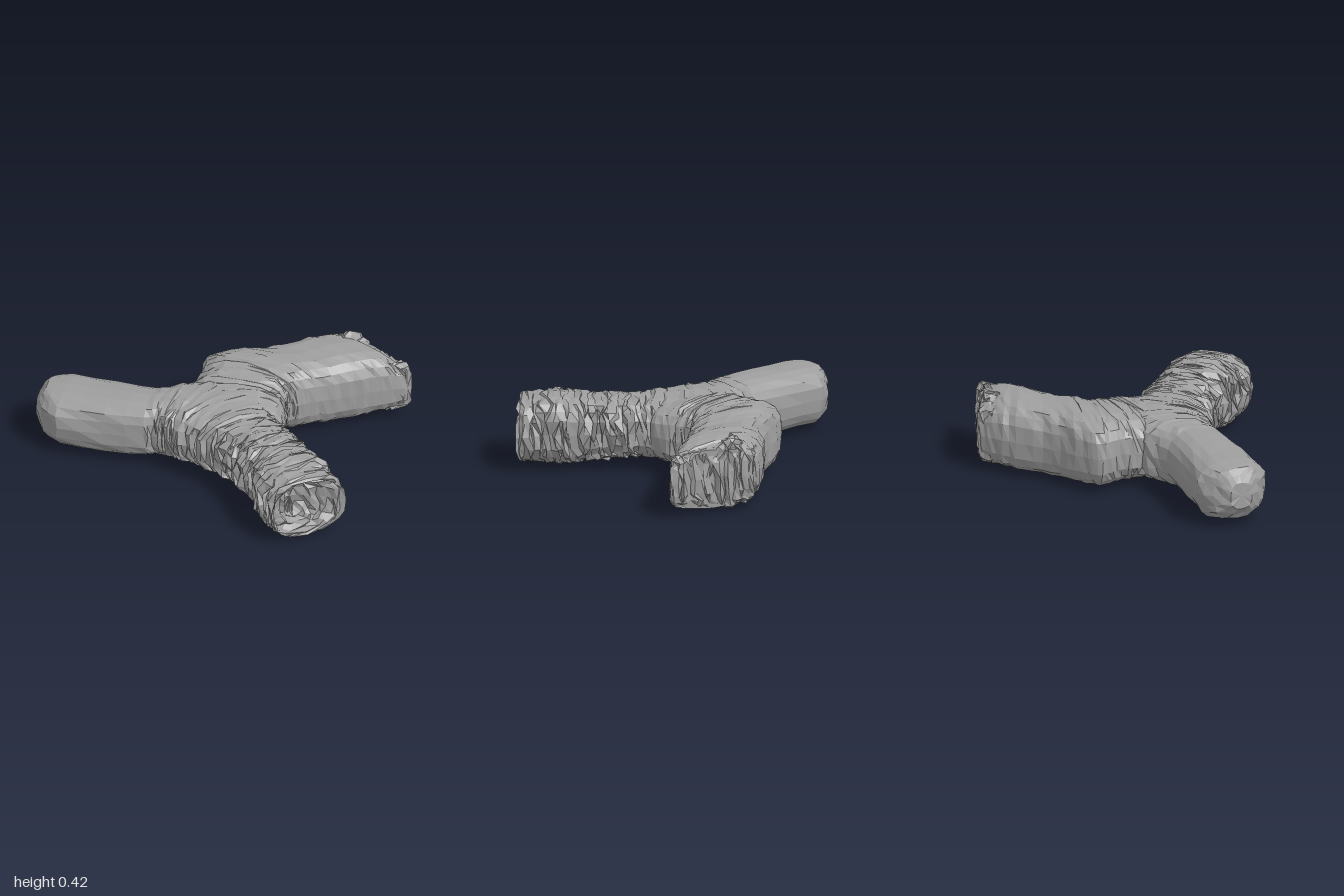
import * as THREE from 'three';

const SIDES = 20;

// small seeded noise, -1 to 1
function makeNoise(seed) {
  let s = seed;
  return () => {
    s = (s * 16807) % 2147483647;
    return (s / 2147483647) * 2 - 1;
  };
}

// Each section: [leftX, leftZ, rightX, rightZ, bottomY, topY, roughness, rings to the next section]
// sideRough scales the roughness on the two flanks; lower squareness gives a boxier outline.
function loft(sections, { seed, sideRough = 1, squareness = 0.75 }) {
  const noise = makeNoise(seed);
  const curve = (f) => new THREE.CatmullRomCurve3(sections.map(f));
  const left = curve((s) => new THREE.Vector3(s[0], 0, s[1]));
  const right = curve((s) => new THREE.Vector3(s[2], 0, s[3]));
  const heights = curve((s) => new THREE.Vector3(s[4], s[5], s[6]));
  const last = sections.length - 1;

  const ts = [];
  for (let i = 0; i < last; i++) {
    for (let k = 0; k < sections[i][7]; k++) ts.push((i + k / sections[i][7]) / last);
  }
  ts.push(1);

  const pos = [];
  const index = [];
  const mids = [];
  const soft = (v) => Math.sign(v) * Math.abs(v) ** squareness;
  ts.forEach((t) => {
    const a = left.getPoint(t);
    const b = right.getPoint(t);
    const h = heights.getPoint(t);
    const mid = a.clone().add(b).multiplyScalar(0.5);
    const half = b.clone().sub(mid);
    const width = half.length();
    const along = new THREE.Vector3(half.z, 0, -half.x).normalize();
    mid.y = (h.x + h.y) / 2;
    mids.push(mid);
    const ringStep = noise() * 0.5;
    for (let j = 0; j < SIDES; j++) {
      const th = (j / SIDES) * Math.PI * 2;
      const rough = h.z * THREE.MathUtils.lerp(sideRough, 1, Math.abs(Math.sin(th)));
      const grow = (ringStep + noise() * 0.6) * rough;
      const p = mid.clone()
        .addScaledVector(half, soft(Math.cos(th)) * (1 + grow / width))
        .addScaledVector(along, noise() * rough * 0.7);
      p.y += soft(Math.sin(th)) * ((h.y - h.x) / 2 + grow * 0.35);
      pos.push(p.x, Math.max(p.y, 0), p.z);
    }
  });

  const n = ts.length;
  for (let i = 0; i < n - 1; i++) {
    for (let j = 0; j < SIDES; j++) {
      const k = (j + 1) % SIDES;
      const a = i * SIDES + j, b = i * SIDES + k;
      const c = a + SIDES, d = b + SIDES;
      index.push(a, c, b, b, c, d);
    }
  }

  // end faces
  pos.push(...mids[0].toArray(), ...mids[n - 1].toArray());
  for (let j = 0; j < SIDES; j++) {
    const k = (j + 1) % SIDES;
    index.push(n * SIDES, j, k);
    index.push(n * SIDES + 1, (n - 1) * SIDES + k, (n - 1) * SIDES + j);
  }

  const g = new THREE.BufferGeometry();
  g.setAttribute('position', new THREE.Float32BufferAttribute(pos, 3));
  g.setIndex(index);
  g.computeVertexNormals();
  return g;
}

export function createModel() {
  const group = new THREE.Group();
  const material = new THREE.MeshStandardMaterial({
    color: 0x9e9e9e, flatShading: true, side: THREE.DoubleSide,
  });
  const add = (name, geometry) => {
    const mesh = new THREE.Mesh(geometry, material);
    mesh.name = name;
    group.add(mesh);
  };

  // ridged stem with a hollowed end, turning into the smooth round-ended arm
  add('stemAndRoundArm', loft([
    [-0.11, 0.66, -0.03, 0.66, 0.10, 0.32, 0.02, 5],
    [-0.19, 0.77, 0.11, 0.77, 0.08, 0.36, 0.025, 4],
    [-0.24, 0.81, 0.18, 0.81, 0.04, 0.38, 0.02, 5],
    [-0.24, 0.74, 0.17, 0.74, 0.04, 0.39, 0.034, 8],
    [-0.24, 0.60, 0.16, 0.60, 0.03, 0.41, 0.034, 10],
    [-0.23, 0.45, 0.15, 0.45, 0.04, 0.40, 0.034, 15],
    [-0.27, 0.22, 0.12, 0.22, 0.06, 0.39, 0.034, 9],
    [-0.34, 0.09, 0.11, 0.10, 0.05, 0.39, 0.022, 7],
    [-0.42, -0.02, 0.14, -0.08, 0.05, 0.40, 0.02, 7],
    [-0.47, -0.11, 0.05, -0.32, 0.04, 0.40, 0.02, 7],
    [-0.51, -0.16, -0.20, -0.42, 0.04, 0.39, 0.015, 3],
    [-0.57, -0.19, -0.34, -0.45, 0.04, 0.38, 0.012, 2],
    [-0.75, -0.32, -0.51, -0.61, 0.03, 0.37, 0.014, 2],
    [-0.95, -0.49, -0.69, -0.79, 0.03, 0.36, 0.014, 2],
    [-0.99, -0.60, -0.80, -0.82, 0.06, 0.35, 0.012, 2],
    [-0.98, -0.70, -0.90, -0.80, 0.13, 0.28, 0.006, 1],
  ], { seed: 7 }));

  // broad arm leaving the junction, streaked above and below, smooth on the flanks
  add('broadArm', loft([
    [-0.28, -0.12, 0.13, 0.09, 0.06, 0.38, 0.015, 4],
    [-0.26, -0.30, 0.19, 0.00, 0.04, 0.40, 0.025, 5],
    [-0.18, -0.42, 0.23, -0.07, 0.03, 0.41, 0.025, 5],
    [-0.09, -0.50, 0.27, -0.13, 0.03, 0.42, 0.025, 5],
    [-0.03, -0.61, 0.32, -0.13, 0.02, 0.42, 0.022, 4],
    [0.09, -0.61, 0.40, -0.13, 0.02, 0.42, 0.018, 4],
    [0.30, -0.56, 0.54, -0.12, 0.01, 0.41, 0.016, 4],
    [0.52, -0.56, 0.70, -0.10, 0.01, 0.42, 0.016, 4],
    [0.67, -0.55, 0.84, -0.08, 0.02, 0.41, 0.018, 4],
    [0.75, -0.53, 0.95, -0.07, 0.04, 0.37, 0.018, 1],
  ], { seed: 23, sideRough: 0.35, squareness: 0.68 }));

  // slanted cut closing the broad arm, stacked in thin upright ridges
  add('raggedCut', loft([
    [0.92, -0.08, 0.98, -0.08, 0.09, 0.32, 0.010, 3],
    [0.84, -0.12, 0.97, -0.12, 0.06, 0.36, 0.025, 6],
    [0.78, -0.20, 0.91, -0.20, 0.05, 0.37, 0.025, 8],
    [0.70, -0.33, 0.85, -0.33, 0.04, 0.39, 0.025, 8],
    [0.66, -0.45, 0.80, -0.45, 0.04, 0.39, 0.025, 5],
    [0.65, -0.52, 0.77, -0.52, 0.07, 0.35, 0.015, 1],
  ], { seed: 91, squareness: 0.6 }));

  return group;
}
